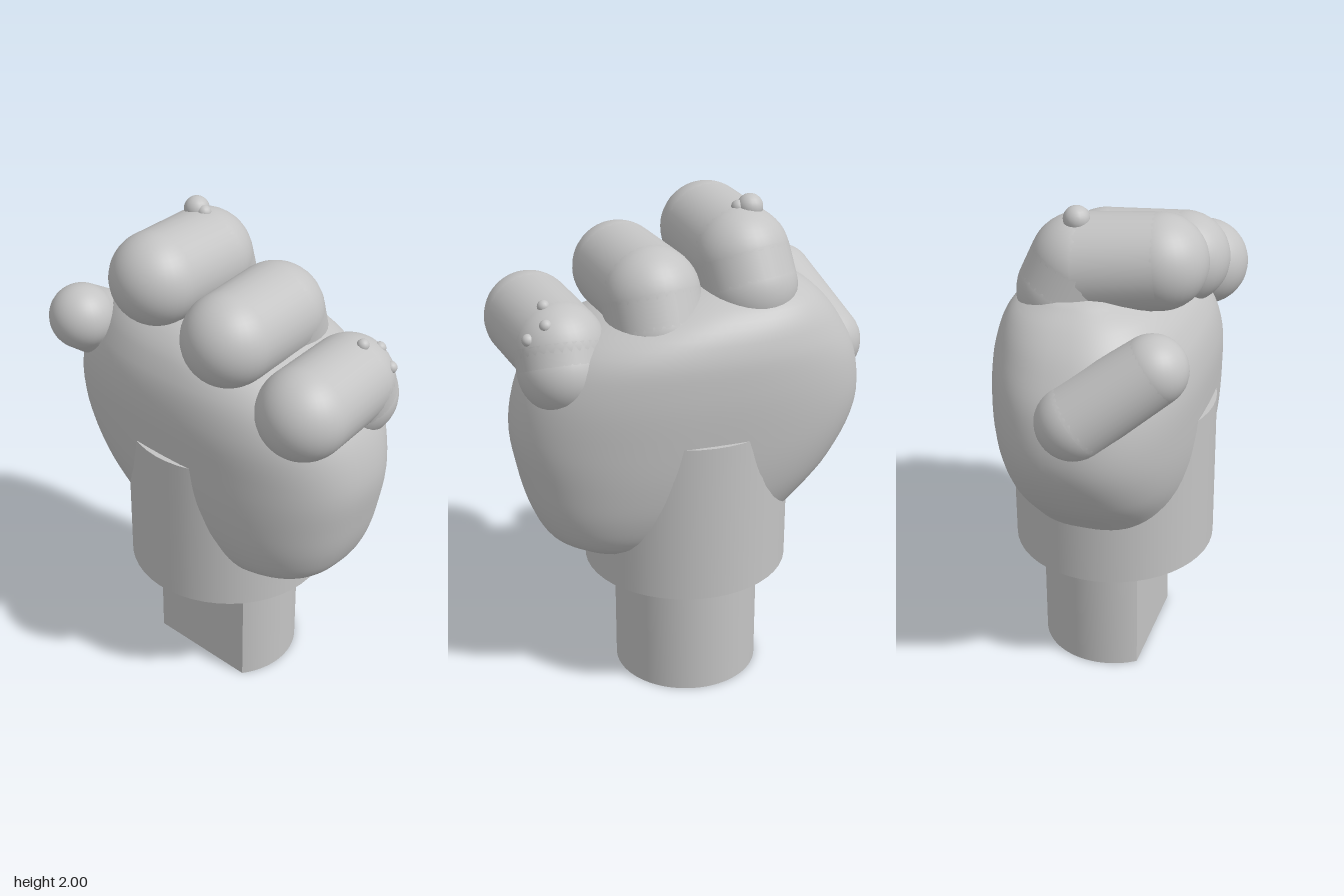
import * as THREE from 'three';
import { toCreasedNormals } from 'three/addons/utils/BufferGeometryUtils.js';

const grey = new THREE.MeshStandardMaterial({ color: 0xc4c4c4 });
grey.name = 'plain grey';

const TURN = -Math.PI / 5; // the hand is turned on its wrist
const CX = 0.03, CZ = -0.063; // wrist axis

function add(parent, name, geometry, x = 0, y = 0, z = 0) {
  const mesh = new THREE.Mesh(geometry, grey);
  mesh.name = name;
  mesh.position.set(x, y, z);
  parent.add(mesh);
  return mesh;
}

// Rounded limb through joints [x, y, z, radius]
function limb(parent, name, joints) {
  const group = new THREE.Group();
  group.name = name;
  joints.forEach(([x, y, z, r], i) => {
    add(group, name + 'Joint', new THREE.SphereGeometry(r, 32, 24), x, y, z);
    if (i === 0) return;
    const [px, py, pz, pr] = joints[i - 1];
    const from = new THREE.Vector3(px, py, pz), to = new THREE.Vector3(x, y, z);
    const dir = to.clone().sub(from);
    const bone = add(group, name + 'Segment', new THREE.CylinderGeometry(r, pr, dir.length(), 32, 1, true));
    bone.position.copy(from).add(to).multiplyScalar(0.5);
    bone.quaternion.setFromUnitVectors(new THREE.Vector3(0, 1, 0), dir.normalize());
  });
  parent.add(group);
}

// Palm: superellipse sections [y, left end, right end, half thickness, shift to the back]
function palmGeometry() {
  const sections = [
    [0.64, -0.22, 0.49, 0.23, 0], [0.70, -0.35, 0.58, 0.29, 0], [0.80, -0.46, 0.635, 0.335, 0],
    [0.95, -0.595, 0.675, 0.37, 0], [1.15, -0.69, 0.70, 0.39, 0.002], [1.35, -0.675, 0.65, 0.395, 0.006],
    [1.50, -0.60, 0.525, 0.365, 0.02], [1.62, -0.50, 0.21, 0.28, 0.035], [1.69, -0.40, -0.05, 0.14, 0.04],
  ];
  const ends = new THREE.CatmullRomCurve3(sections.map(([y, l, r]) => new THREE.Vector3(l, y, r)));
  const thick = new THREE.CatmullRomCurve3(sections.map(([y, , , b, s]) => new THREE.Vector3(b, y, -s)));
  const rows = 40, cols = 72, pos = [], index = [];
  const ring = (l, r, y, b, shift, power) => {
    for (let j = 0; j < cols; j++) {
      const t = (j / cols) * Math.PI * 2, c = Math.cos(t), s = Math.sin(t);
      const bend = (v) => Math.sign(v) * Math.pow(Math.abs(v), 2 / power);
      pos.push((l + r) / 2 + bend(c) * (r - l) / 2, y, shift + bend(s) * b);
    }
  };
  ring(0.14, 0.14, 0.64, 0, 0, 2); // bottom cap centre
  for (let i = 0; i <= rows; i++) {
    const e = ends.getPoint(i / rows), b = thick.getPoint(i / rows);
    ring(e.x, e.z, e.y, b.x, b.z, 2.7 - 0.3 * Math.min(1, (2 * i) / rows)); // squarer at the heel
  }
  ring(-0.22, -0.22, 1.71, 0, -0.04, 2); // top cap centre
  for (let i = 0; i < rows + 2; i++) {
    for (let j = 0; j < cols; j++) {
      const k = (j + 1) % cols;
      const a = i * cols + j, b = i * cols + k, c = a + cols, d = b + cols;
      if (i < rows + 1) index.push(a, c, d);
      else index.push(a, c, b);
      if (i > 0 && i < rows + 1) index.push(a, d, b);
    }
  }
  const geo = new THREE.BufferGeometry();
  geo.setAttribute('position', new THREE.Float32BufferAttribute(pos, 3));
  geo.setIndex(index);
  return toCreasedNormals(geo, 0.8);
}

export function createModel() {
  const model = new THREE.Group();
  model.name = 'fistOnPeg';

  // D-shaped peg, flat on the finger side
  const deg = Math.PI / 180;
  const outline = new THREE.Shape();
  outline.absarc(0, 0, 0.293, 288 * deg, 540 * deg, false);
  outline.closePath();
  const pegGeo = new THREE.ExtrudeGeometry(outline, { depth: 0.52, bevelEnabled: false, curveSegments: 48 });
  pegGeo.rotateX(-Math.PI / 2);
  add(model, 'peg', toCreasedNormals(pegGeo, 0.4), CX, 0, CZ - 0.005);

  // Wrist collar
  add(model, 'wristCollar', new THREE.CylinderGeometry(0.41, 0.41, 0.645, 48), CX, 0.8225, CZ);

  // Palm
  add(model, 'palm', palmGeometry(), CX, 0, CZ).rotation.y = TURN;

  // Curled fingers, from tip to knuckle to base
  limb(model, 'indexFinger', [[-0.235, 1.793, 0.03, 0.18], [-0.09, 1.765, -0.23, 0.19], [-0.075, 1.66, -0.28, 0.187]]);
  limb(model, 'middleFinger', [[0.06, 1.668, 0.237, 0.18], [0.205, 1.65, -0.03, 0.19], [0.225, 1.53, -0.075, 0.187]]);
  limb(model, 'littleFinger', [[0.353, 1.505, 0.445, 0.177], [0.5, 1.49, 0.17, 0.175], [0.523, 1.415, 0.14, 0.168]]);
  limb(model, 'thumb', [[-0.56, 1.53, -0.115, 0.131], [-0.483, 1.335, -0.383, 0.146]]);

  // Small warts on the knuckles
  const warts = [
    [-0.12, 1.95, -0.25, 0.05], [-0.088, 1.95, -0.22, 0.028],
    [0.545, 1.655, 0.2, 0.024], [0.607, 1.612, 0.137, 0.024], [0.652, 1.56, 0.185, 0.024],
  ];
  for (const [x, y, z, r] of warts) add(model, 'wart', new THREE.SphereGeometry(r, 16, 12), x, y, z);

  return model;
}
